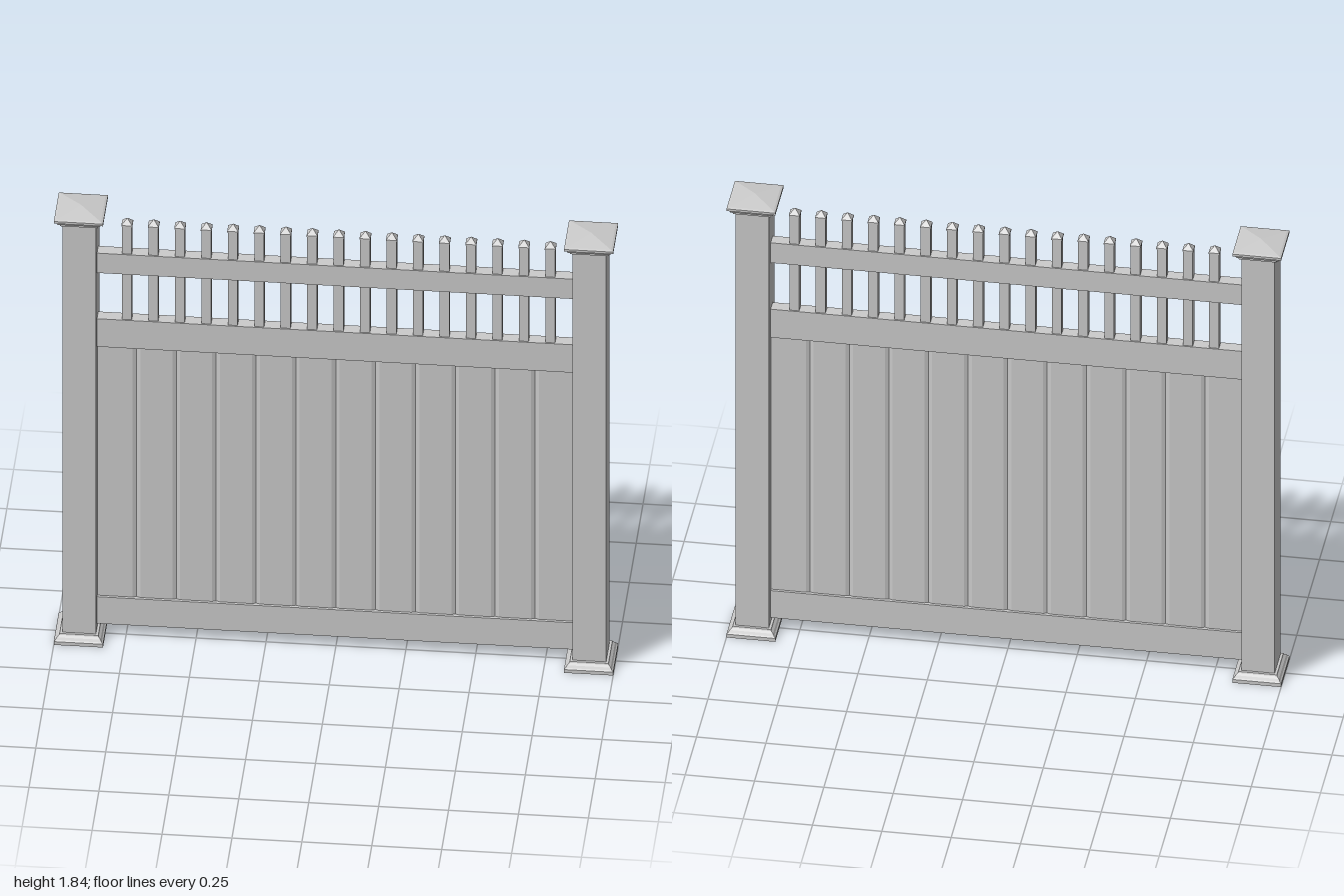
import * as THREE from 'three';

const SPAN = 1.71;      // clear width between the posts
const POST_X = 0.912;
const BOARDS = 12;
const PICKETS = 17;

const material = new THREE.MeshStandardMaterial({ color: 0xcccccc, flatShading: true });

function addMesh(parent, name, geometry, x = 0, y = 0, z = 0) {
  const mesh = new THREE.Mesh(geometry, material);
  mesh.name = name;
  mesh.position.set(x, y, z);
  parent.add(mesh);
  return mesh;
}

// Box standing on a given height
function addBox(parent, name, w, bottom, top, d, x = 0) {
  return addMesh(parent, name, new THREE.BoxGeometry(w, top - bottom, d), x, (bottom + top) / 2);
}

// Square solid from a profile of [half width, height], bottom to top
function squareProfile(profile, depthScale = 1) {
  const points = profile.map(([half, y]) => new THREE.Vector2(half * Math.SQRT2, y));
  const lathe = new THREE.LatheGeometry(points, 4, Math.PI / 4);
  lathe.scale(1, 1, depthScale);
  const flat = lathe.toNonIndexed();
  flat.computeVertexNormals();
  return flat;
}

// Post with stepped skirt and low pyramid cap
function createPost(x, name) {
  const post = new THREE.Group();
  post.name = name;
  post.position.x = x;
  addBox(post, 'postShaft', 0.12, 0.004, 1.80, 0.125);
  addMesh(post, 'postSkirt', squareProfile([
    [0.06, 0], [0.088, 0], [0.088, 0.014], [0.083, 0.018], [0.078, 0.026],
    [0.071, 0.032], [0.069, 0.037], [0.06, 0.037],
  ], 1.05));
  addMesh(post, 'postCap', squareProfile([
    [0.058, 1.787], [0.068, 1.787], [0.069, 1.795], [0.076, 1.798], [0.079, 1.806],
    [0.088, 1.811], [0.088, 1.82], [0.08, 1.823], [0, 1.836],
  ], 1.05));
  return post;
}

// Plank panel: a plan outline with shallow V grooves on both faces, extruded upward
function createPanelGeometry(bottom, top) {
  const half = 0.013, groove = 0.005, lip = 0.014;
  const front = [[-SPAN / 2, half]];
  for (let i = 1; i < BOARDS; i++) {
    const x = -SPAN / 2 + (i * SPAN) / BOARDS;
    front.push([x - lip, half], [x, half - groove], [x + lip, half]);
  }
  front.push([SPAN / 2, half]);
  const back = front.map(([x, z]) => [x, -z]).reverse();
  const shape = new THREE.Shape([...front, ...back].map(([x, z]) => new THREE.Vector2(x, z)));
  const geometry = new THREE.ExtrudeGeometry(shape, { depth: top - bottom, bevelEnabled: false });
  geometry.rotateX(-Math.PI / 2);
  geometry.translate(0, bottom, 0);
  return geometry;
}

export function createModel() {
  const fence = new THREE.Group();
  fence.name = 'fencePanel';

  // Posts
  fence.add(createPost(POST_X, 'leftPost'), createPost(-POST_X, 'rightPost'));

  // Horizontal rails
  addBox(fence, 'bottomRail', SPAN, 0.055, 0.17, 0.046);
  addBox(fence, 'middleRail', SPAN, 1.245, 1.365, 0.046);
  addBox(fence, 'topRail', SPAN, 1.562, 1.647, 0.046);

  // Solid plank panel
  addMesh(fence, 'plankPanel', createPanelGeometry(0.165, 1.25));

  // Pickets with pointed caps
  const pickets = new THREE.Group();
  pickets.name = 'pickets';
  fence.add(pickets);
  const picketGeometry = squareProfile([[0, 1.355], [0.0175, 1.355], [0.0175, 1.77], [0, 1.77]]);
  const tipGeometry = squareProfile([[0.0175, 1.764], [0.0195, 1.764], [0.0195, 1.769], [0, 1.79]]);
  for (let i = 0; i < PICKETS; i++) {
    const x = -0.746 + i * 0.0946;
    addMesh(pickets, 'picket', picketGeometry, x);
    addMesh(pickets, 'picketTip', tipGeometry, x);
  }

  return fence;
}
